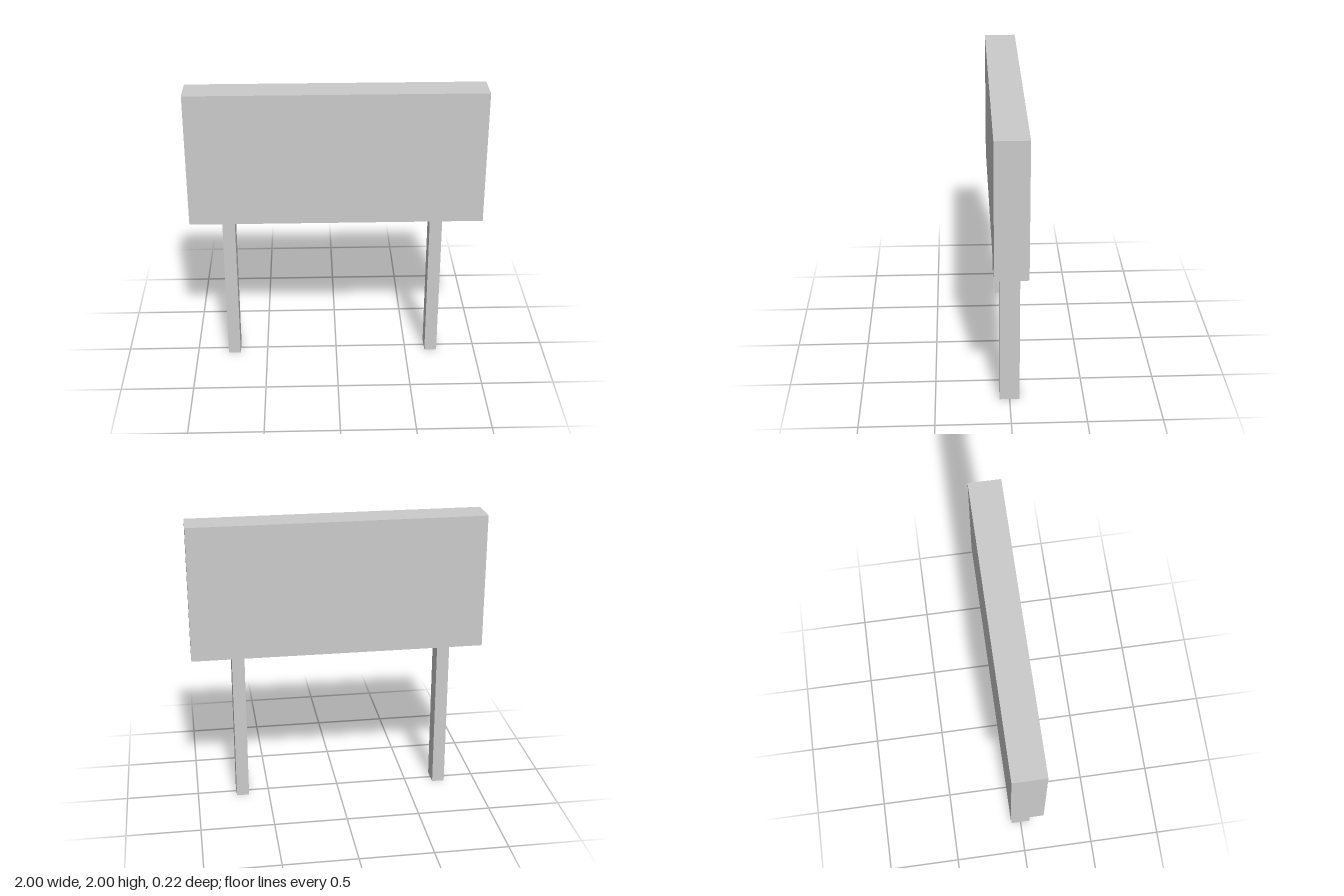
import * as THREE from 'three';

const material = new THREE.MeshStandardMaterial({ color: 0xcccccc, flatShading: true });

// Box placed by its centre in x and its bottom in y
function addBox(group, name, [w, h, d], x, bottom) {
  const mesh = new THREE.Mesh(new THREE.BoxGeometry(w, h, d), material);
  mesh.name = name;
  mesh.position.set(x, bottom + h / 2, 0);
  group.add(mesh);
}

export function createModel() {
  const group = new THREE.Group();
  group.name = 'signboard';
  const panelBottom = 1.072;

  // Wide board
  addBox(group, 'board', [2, 2 - panelBottom, 0.218], 0, panelBottom);

  // Two posts, set slightly off-centre under the board
  const postSize = [0.086, panelBottom, 0.134];
  addBox(group, 'leftPost', postSize, 0.685, 0);
  addBox(group, 'rightPost', postSize, -0.737, 0);

  return group;
}
